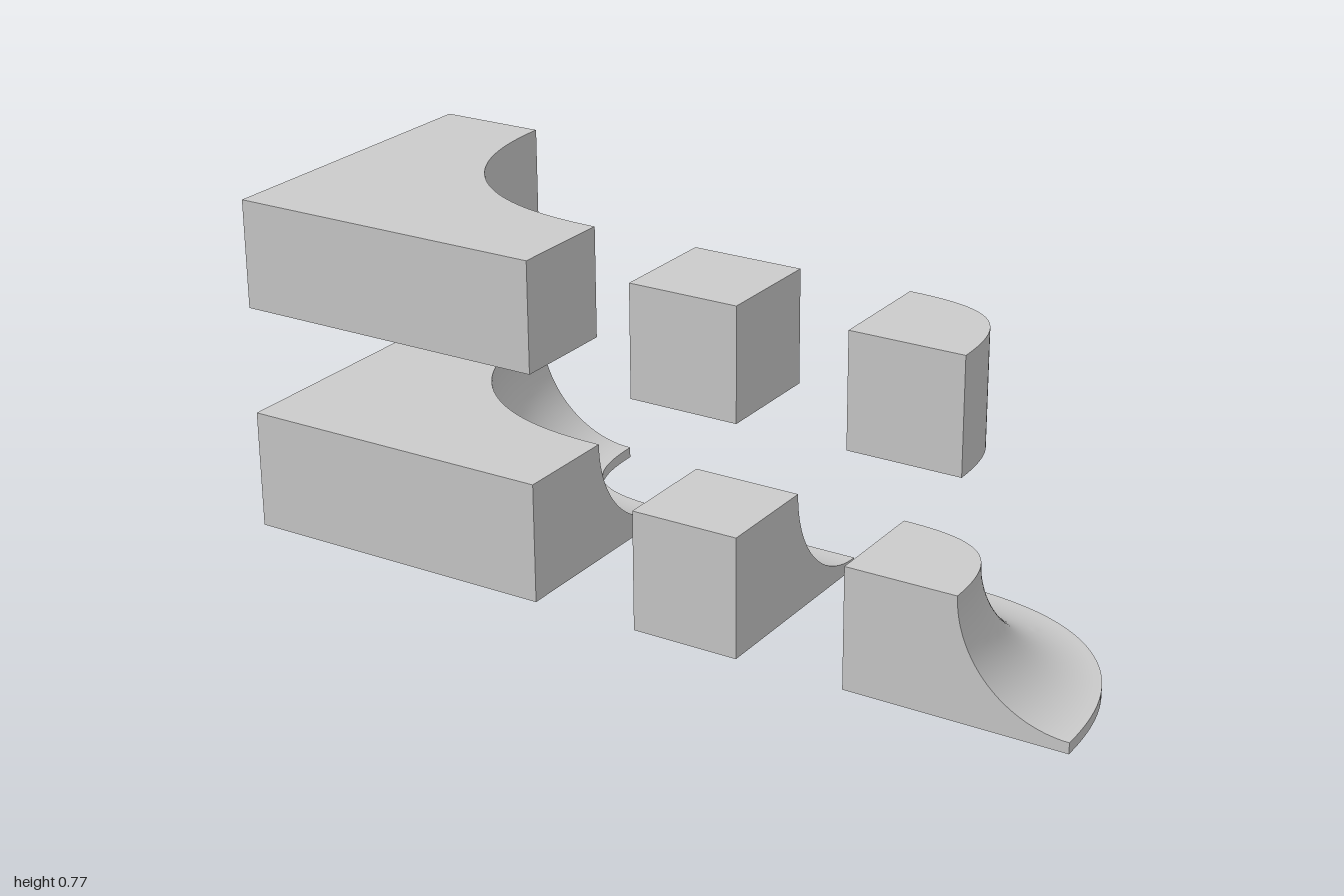
import * as THREE from 'three';
import { toCreasedNormals } from 'three/addons/utils/BufferGeometryUtils.js';

const TRIM = 0.025, FLARE = 0.25, LOW = 0.275, HIGH = 0.25, HIGH_Y = 0.525;
const BEND = 0.25 * 0.75;
const v2 = (x, z) => new THREE.Vector2(x, z);

// Plan points (x, z) of a path, moved sideways by s
function offset(curve, steps, s) {
  const points = [];
  for (let i = 0; i <= steps; i++) {
    const p = curve.getPoint(i / steps), t = curve.getTangent(i / steps);
    points.push(v2(p.x + t.y * s, p.y - t.x * s));
  }
  return points;
}

// Solid made by carrying a closed profile (sideways, up) along a path
function sweep(curve, steps, profile, base) {
  const rails = profile.map((p) => offset(curve, steps, p.x - base));
  const pos = [];
  const put = (i, j) => pos.push(rails[j][i].x, profile[j].y, rails[j][i].y);
  for (let i = 0; i < steps; i++) {
    for (let j = 0; j < profile.length; j++) {
      const k = (j + 1) % profile.length;
      put(i, j); put(i, k); put(i + 1, k);
      put(i, j); put(i + 1, k); put(i + 1, j);
    }
  }
  for (const [a, b, c] of THREE.ShapeUtils.triangulateShape(profile, [])) {
    put(steps, a); put(steps, b); put(steps, c);
    put(0, a); put(0, c); put(0, b);
  }
  const geo = new THREE.BufferGeometry();
  geo.setAttribute('position', new THREE.Float32BufferAttribute(pos, 3));
  return toCreasedNormals(geo, 0.5);
}

// Flat-topped block from a plan outline
function block(outline, height, y) {
  const geo = new THREE.ExtrudeGeometry(
    new THREE.Shape(outline.map((p) => v2(p.x, -p.y))),
    { depth: height, bevelEnabled: false });
  return geo.rotateX(-Math.PI / 2).translate(0, y, 0);
}

// Foot with a concave quarter-round flare
function flareProfile() {
  const points = [v2(-TRIM, 0), v2(FLARE, 0)];
  for (let i = 0; i <= 24; i++) {
    const a = (i / 24) * Math.PI / 2;
    points.push(v2(FLARE * (1 - Math.sin(a)), LOW - FLARE * Math.cos(a)));
  }
  points.push(v2(-TRIM, LOW));
  return points;
}

// Plain upright strip
function stripProfile() {
  const top = HIGH_Y + HIGH;
  return [v2(-TRIM, HIGH_Y), v2(0, HIGH_Y), v2(0, top), v2(-TRIM, top)];
}

export function createModel() {
  const group = new THREE.Group();
  const material = new THREE.MeshStandardMaterial({ color: 0xcccccc });

  // Each piece: path, sideways start of the wall, corners closing the core
  const pieces = [
    {
      name: 'innerCorner', steps: 40, base: FLARE,
      path: new THREE.CubicBezierCurve(v2(-0.5, -0.375), v2(-0.5, -0.375 + BEND),
        v2(-0.25 - BEND, -0.125), v2(-0.25, -0.125)),
      corners: [v2(-0.25, 0.375), v2(-1, 0.375), v2(-1, -0.375)],
    },
    {
      name: 'straight', steps: 1, base: 0,
      path: new THREE.LineCurve(v2(0, 0.125), v2(0.25, 0.125)),
      corners: [v2(0.25, 0.375), v2(0, 0.375)],
    },
    {
      name: 'outerCorner', steps: 40, base: 0,
      path: new THREE.CubicBezierCurve(v2(0.5, 0.125), v2(0.5 + BEND, 0.125),
        v2(0.75, 0.375 - BEND), v2(0.75, 0.375)),
      corners: [v2(0.5, 0.375)],
    },
  ];

  for (const { name, steps, base, path, corners } of pieces) {
    const piece = new THREE.Group();
    piece.name = name;
    const add = (part, geo) => {
      const mesh = new THREE.Mesh(geo, material);
      mesh.name = part;
      piece.add(mesh);
    };
    const outline = [...offset(path, steps, -TRIM - base), ...corners];
    add('lowerCore', block(outline, LOW, 0));
    add('lowerFlare', sweep(path, steps, flareProfile(), base));
    add('upperCore', block(outline, HIGH, HIGH_Y));
    add('upperTrim', sweep(path, steps, stripProfile(), base));
    group.add(piece);
  }
  return group;
}
